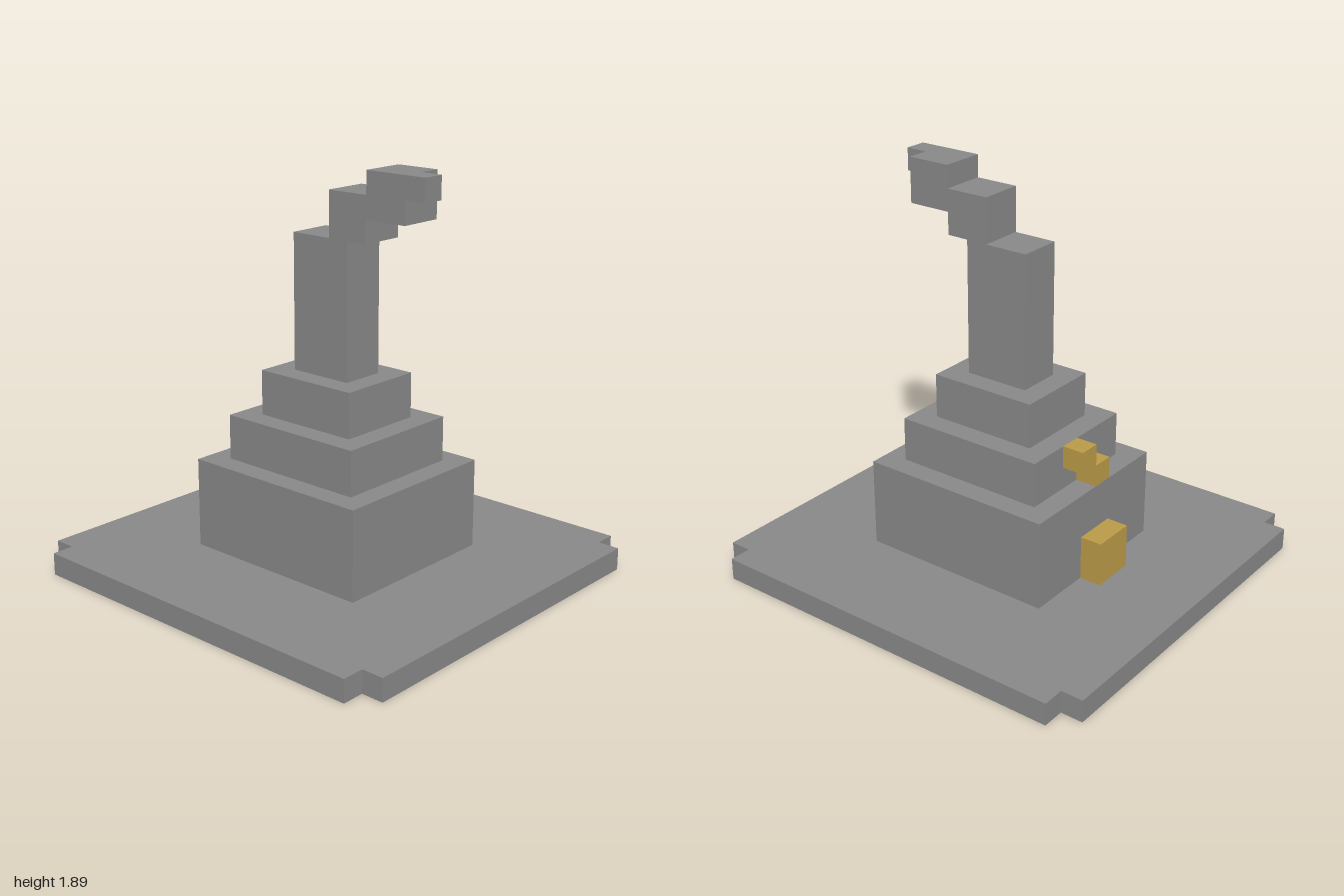
import * as THREE from 'three';

const U = 2 / 19; // one block

export function createModel() {
  const model = new THREE.Group();
  const stone = new THREE.MeshStandardMaterial({ color: 0x888888 });
  stone.name = 'greyStone';
  const gold = new THREE.MeshStandardMaterial({ color: 0xba9a48 });
  gold.name = 'gold';

  // Box given by its limits in blocks
  function block(name, material, [x0, x1], [y0, y1], [z0, z1]) {
    const geometry = new THREE.BoxGeometry((x1 - x0) * U, (y1 - y0) * U, (z1 - z0) * U);
    const mesh = new THREE.Mesh(geometry, material);
    mesh.position.set((x0 + x1) / 2 * U, (y0 + y1) / 2 * U, (z0 + z1) / 2 * U);
    mesh.name = name;
    model.add(mesh);
  }

  // Ground slab with a square notch in each corner
  const outline = [
    [8, -9.5], [8, -8.5], [9, -8.5], [9, 8.5], [8, 8.5], [8, 9.5],
    [-8, 9.5], [-8, 8.5], [-9, 8.5], [-9, -8.5], [-8, -8.5], [-8, -9.5],
  ].map(([x, y]) => new THREE.Vector2(x * U, y * U));
  const slabGeometry = new THREE.ExtrudeGeometry(new THREE.Shape(outline), { depth: U, bevelEnabled: false });
  slabGeometry.rotateX(-Math.PI / 2);
  const slab = new THREE.Mesh(slabGeometry, stone);
  slab.name = 'groundSlab';
  model.add(slab);

  // Stepped body and chimney: half width, half depth, bottom, top
  [
    ['lowerTier', 4, 4.5, 1, 5],
    ['middleTier', 3, 3.5, 5, 7],
    ['upperTier', 2, 2.5, 7, 9],
    ['chimney', 1, 1.5, 9, 15],
  ].forEach(([name, w, d, y0, y1]) => block(name, stone, [-w, w], [y0, y1], [-d, d]));

  // Smoke drifting forward in steps
  block('smokeLower', stone, [-1, 1], [15, 17], [0.5, 2.5]);
  block('smokeUpper', stone, [-1, 1], [16, 18], [2.5, 4.5]);
  block('smokeTip', stone, [-1, 0], [17, 18], [4.5, 5.5]);

  // Gold blocks on the back
  block('door', gold, [-1, 1], [1, 3], [-5.5, -4.5]);
  block('lowerGoldBlock', gold, [-1, 0], [5, 6], [-4.5, -3.5]);
  block('upperGoldBlock', gold, [0, 1], [6, 7], [-4.5, -3.5]);

  return model;
}
